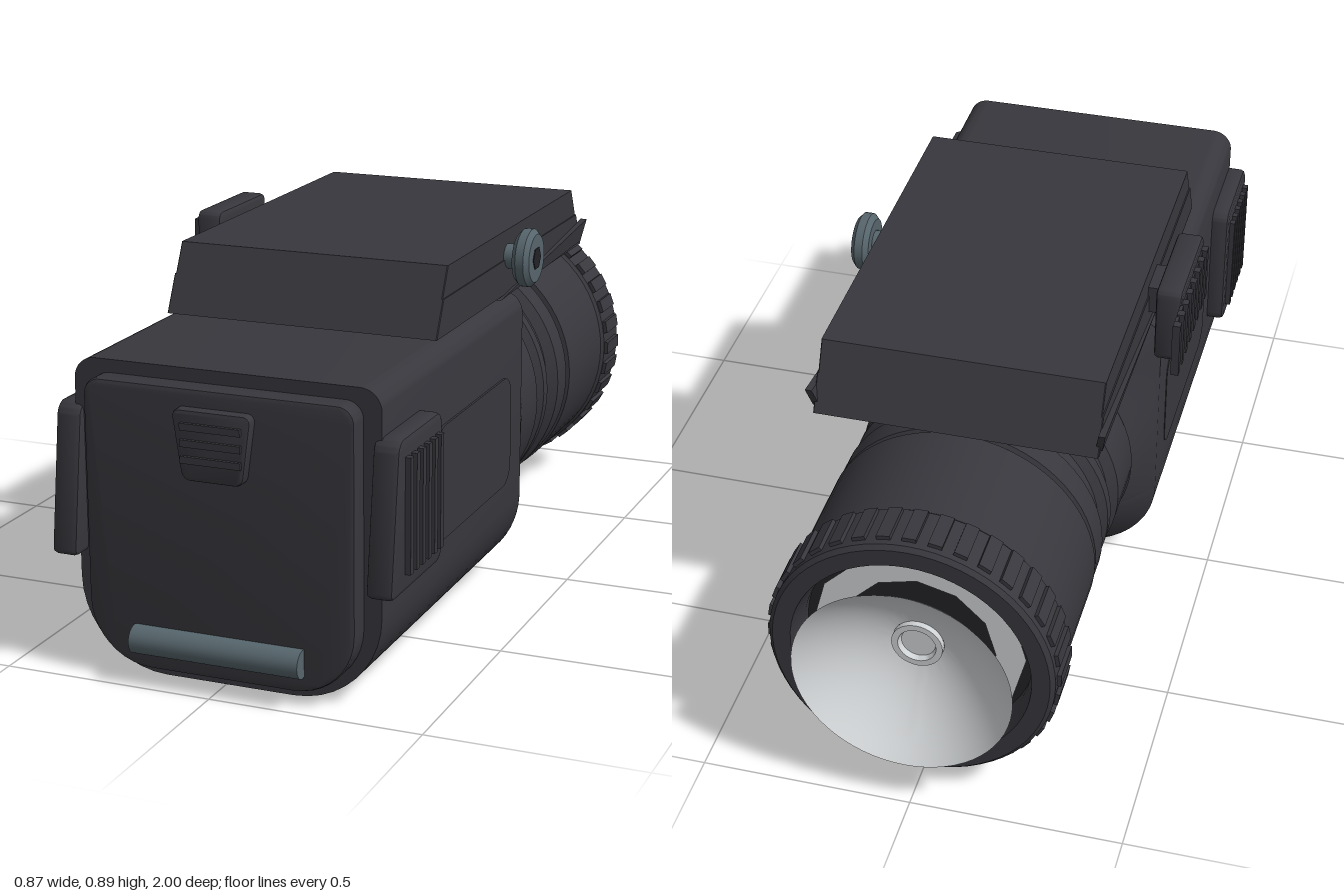
import * as THREE from 'three';
import { toCreasedNormals } from 'three/addons/utils/BufferGeometryUtils.js';

const CX = 0.01; // centre line of the housing
const AXIS_Y = 0.375; // height of the lamp axis

const mat = (name, color, side = THREE.FrontSide) => {
  const m = new THREE.MeshStandardMaterial({ color, side });
  m.name = name;
  return m;
};

// Rounded polygon: corners are [x, y, radius], counter-clockwise
function roundedShape(corners) {
  const s = new THREE.Shape();
  const n = corners.length;
  corners.forEach(([x, y, r], i) => {
    const p = new THREE.Vector2(x, y);
    const toward = (c) => p.clone().add(new THREE.Vector2(c[0], c[1]).sub(p).setLength(r));
    const a = toward(corners[(i + n - 1) % n]);
    const b = toward(corners[(i + 1) % n]);
    if (i === 0) s.moveTo(a.x, a.y); else s.lineTo(a.x, a.y);
    // cubic handles give a nearly circular corner
    const k = 0.55;
    const h1 = a.clone().lerp(p, k), h2 = b.clone().lerp(p, k);
    s.bezierCurveTo(h1.x, h1.y, h2.x, h2.y, b.x, b.y);
  });
  s.closePath();
  return s;
}
const rect = (x0, x1, y0, y1, r) => roundedShape([[x0, y0, r], [x1, y0, r], [x1, y1, r], [x0, y1, r]]);

// Straight extrusion with an optional small bevel kept inside the outline
function extrude(shape, depth, bevel = 0) {
  const g = new THREE.ExtrudeGeometry(shape, {
    depth: depth - 2 * bevel, curveSegments: 10, bevelEnabled: bevel > 0,
    bevelSize: bevel, bevelThickness: bevel, bevelOffset: -bevel, bevelSegments: 2,
  });
  g.translate(0, 0, bevel);
  return toCreasedNormals(g, 0.5);
}
const frontPlate = (shape, z0, z1, bevel) => extrude(shape, z1 - z0, bevel).translate(0, 0, z0);
// Outline is given in (z, y) and extruded along x
const sidePlate = (shape, x0, x1, bevel) =>
  extrude(shape, x1 - x0, bevel).rotateY(-Math.PI / 2).translate(x1, 0, 0);

// Turned part on the lamp axis; profile is [radius, z], running toward the lens
function turned(profile, segments = 64) {
  const pts = profile.map(([r, z]) => new THREE.Vector2(r, -z));
  const g = new THREE.LatheGeometry(pts, segments).rotateX(-Math.PI / 2).translate(CX, AXIS_Y, 0);
  return toCreasedNormals(g, 0.5);
}

// Skin from the housing outline to the round neck
function shoulder(shape, z0, z1, radius) {
  const outline = shape.getSpacedPoints(120);
  const pos = [], index = [];
  outline.forEach((p, i) => {
    const a = Math.atan2(p.y - AXIS_Y, p.x - CX);
    pos.push(p.x, p.y, z0, CX + radius * Math.cos(a), AXIS_Y + radius * Math.sin(a), z1);
    if (i) index.push(2 * i - 2, 2 * i - 1, 2 * i, 2 * i, 2 * i - 1, 2 * i + 1);
  });
  const g = new THREE.BufferGeometry();
  g.setAttribute('position', new THREE.Float32BufferAttribute(pos, 3));
  g.setIndex(index);
  g.computeVertexNormals();
  return g;
}

// Layer of the mount with ends that slope outward going down
function mountLayer(y0, y1, half, hole) {
  const s = rect(CX - half, CX + half, -0.44, 0.47, 0.002);
  if (hole) s.holes.push(rect(CX - hole, CX + hole, -0.36, 0.4, 0.002));
  const g = new THREE.ExtrudeGeometry(s, { depth: y1 - y0, bevelEnabled: false, curveSegments: 1 });
  g.rotateX(-Math.PI / 2).translate(0, y0, 0);
  const p = g.attributes.position;
  for (let i = 0; i < p.count; i++) {
    const t = (0.88 - p.getY(i)) / 0.16;
    p.setZ(i, p.getZ(i) + Math.sign(p.getZ(i)) * 0.08 * t);
  }
  g.computeVertexNormals();
  return g;
}

export function createModel() {
  const model = new THREE.Group();
  model.name = 'mountedLamp';
  const body = mat('charcoal', 0x38373d);
  const skin = mat('charcoalSheet', 0x38373d, THREE.DoubleSide);
  const dark = mat('darkRecess', 0x232327, THREE.DoubleSide);
  const steel = mat('blueSteel', 0x56656c);
  const silver = mat('reflectorSilver', 0xd0d3d5, THREE.DoubleSide);
  const add = (name, geometry, material = body, parent = model) => {
    const m = new THREE.Mesh(geometry, material);
    m.name = name;
    parent.add(m);
    return m;
  };
  const box = (w, h, d, x, y, z) => new THREE.BoxGeometry(w, h, d).translate(x, y, z);

  // Housing with its shoulder and front cover
  const section = roundedShape([[-0.355, 0, 0.21], [0.372, 0, 0.21], [0.372, 0.72, 0.05], [-0.355, 0.72, 0.05]]);
  add('housing', frontPlate(section, 0, 0.91));
  add('shoulder', shoulder(section, 0, -0.12, 0.325), skin);
  const cover = roundedShape([[-0.31, 0.03, 0.15], [0.33, 0.03, 0.15], [0.33, 0.69, 0.04], [-0.31, 0.69, 0.04]]);
  add('frontCover', frontPlate(cover, 0.9, 0.96, 0.01));

  // Cover latch with grip bars, and hinge bar
  const latch = roundedShape([[-0.062, 0.49, 0.02], [0.082, 0.49, 0.02], [0.104, 0.65, 0.02], [-0.086, 0.65, 0.02]]);
  add('coverLatch', frontPlate(latch, 0.95, 0.985, 0.008));
  for (const y of [0.54, 0.577, 0.614]) add('latchGrip', box(0.142, 0.016, 0.014, CX, y, 0.986));
  add('hingeBar', new THREE.CylinderGeometry(0.033, 0.033, 0.406, 24).rotateZ(Math.PI / 2).translate(0.008, 0.102, 0.967), steel);

  // Side switches and side panels, on both sides
  const pad = roundedShape([[0.665, 0.27, 0.03], [0.968, 0.27, 0.02], [0.922, 0.615, 0.03], [0.665, 0.615, 0.03]]);
  const panel = rect(0.09, 0.59, 0.27, 0.54, 0.05);
  for (const s of [-1, 1]) {
    const at = (a, b) => [CX + s * a, CX + s * b].sort((p, q) => p - q);
    add('sideSwitch', sidePlate(pad, ...at(0.345, 0.408), 0.012));
    for (let i = 0; i < 6; i++) {
      add('switchRib', box(0.03, 0.262, 0.018, CX + s * 0.406, 0.442, 0.705 + i * 0.036));
    }
    add('sidePanel', sidePlate(panel, ...at(0.358, 0.367)));
  }

  // Neck with grooves and lamp barrel
  add('neck', turned([
    [0.3, -0.02], [0.322, -0.1], [0.322, -0.25], [0.3, -0.27], [0.3, -0.3], [0.318, -0.315], [0.318, -0.345],
    [0.298, -0.36], [0.298, -0.4], [0.322, -0.42], [0.322, -0.49], [0.312, -0.495], [0.312, -0.51],
  ]));
  add('barrel', turned([[0.3, -0.505], [0.325, -0.51], [0.325, -0.8]]));

  // Ribbed bezel
  add('bezel', turned([
    [0.32, -0.785], [0.332, -0.8], [0.332, -0.92], [0.322, -0.93], [0.28, -0.93], [0.265, -0.87], [0.265, -0.83],
  ]));
  const ribs = new THREE.Group();
  ribs.name = 'bezelRibs';
  ribs.position.set(CX, AXIS_Y, -0.855);
  for (let i = 0; i < 36; i++) {
    const g = box(0.032, 0.016, 0.1, 0, 0.333, 0).rotateZ((i / 36) * Math.PI * 2);
    add('bezelRib', g, body, ribs);
  }
  model.add(ribs);
  add('bezelFloor', turned([[0.28, -0.845], [0, -0.845]]), dark);
  add('reflectorSeat', turned([[0.25, -0.86], [0.18, -0.86]], 12), silver);

  // Parabolic reflector with the emitter at its centre
  const bowl = [];
  for (let i = 0; i <= 10; i++) {
    const r = 0.06 + i * 0.0195;
    bowl.push([r, -0.852 - (r * r) / 0.44]);
  }
  add('reflector', turned(bowl), silver);
  add('emitter', turned([[0.06, -0.86], [0.06, -0.875], [0.045, -0.875], [0.04, -0.862], [0, -0.862]], 32), silver);

  // Mount: solid top, hollow skirt, inner step and flared side lips
  add('mountTop', mountLayer(0.81, 0.88, 0.332));
  add('mountSkirt', mountLayer(0.725, 0.81, 0.335, 0.27));
  add('mountStep', mountLayer(0.77, 0.81, 0.3, 0.22));
  add('mountRecess', box(0.43, 0.006, 0.7, CX, 0.807, -0.03), dark);
  for (const s of [-1, 1]) {
    const lip = new THREE.Shape();
    lip.moveTo(0.1, 0.72);
    lip.lineTo(-0.53, 0.735);
    lip.lineTo(-0.55, 0.79);
    lip.closePath();
    const x = CX + s * 0.332;
    const g = sidePlate(lip, x - 0.008, x + 0.008);
    const p = g.attributes.position;
    for (let i = 0; i < p.count; i++) { // only the raised rear tip flares out
      if (p.getY(i) > 0.78) p.setX(i, p.getX(i) + s * 0.01);
    }
    g.computeVertexNormals();
    add('mountLip', g, skin);
  }

  // Clamp lever on the right side
  add('clampLever', sidePlate(rect(-0.11, 0.16, 0.692, 0.89, 0.02), -0.42, -0.357, 0.01));
  add('leverShaft', box(0.06, 0.07, 0.1, -0.34, 0.8, 0.03));
  add('leverPlate', box(0.008, 0.13, 0.34, -0.42, 0.795, -0.03));
  for (let i = 0; i < 8; i++) add('leverRib', box(0.018, 0.14, 0.02, -0.426, 0.795, -0.19 + i * 0.046));

  // Clamp screw on the left side, with a hexagonal socket
  const screw = new THREE.Group();
  screw.name = 'clampScrew';
  screw.position.set(0.33, 0.815, 0.03);
  screw.rotation.z = -Math.PI / 2;
  const head = new THREE.LatheGeometry(
    [[0, 0.042], [0.058, 0.042], [0.07, 0.054], [0.07, 0.074], [0.058, 0.085], [0, 0.085]].map((p) => new THREE.Vector2(...p)), 32);
  add('screwHead', toCreasedNormals(head, 0.5), steel, screw);
  add('screwShaft', new THREE.CylinderGeometry(0.03, 0.03, 0.06, 20).translate(0, 0.02, 0), steel, screw);
  add('screwSocket', new THREE.CylinderGeometry(0.028, 0.028, 0.004, 6).translate(0, 0.085, 0), dark, screw);
  model.add(screw);

  return model;
}
